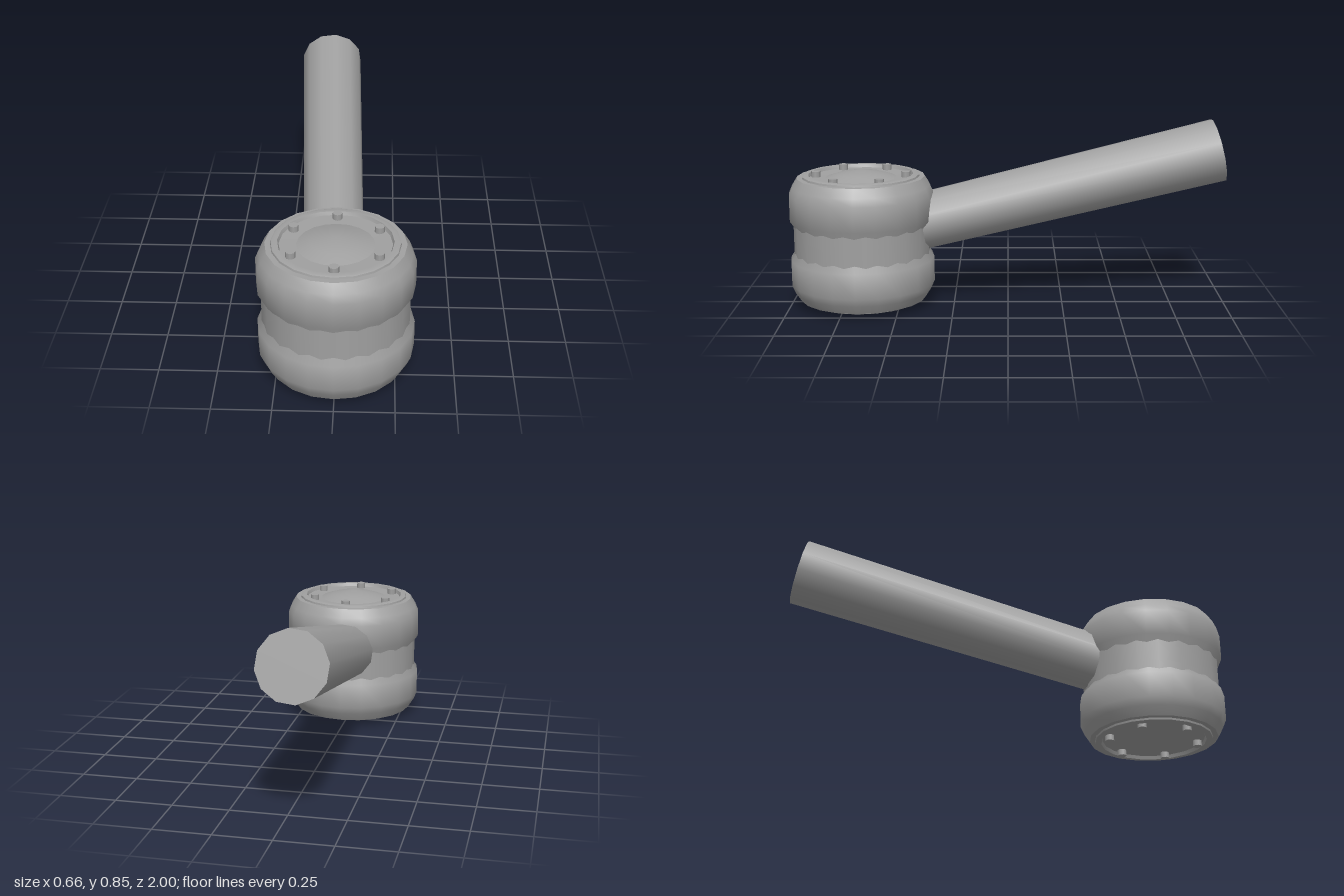
import * as THREE from 'three';
import { toCreasedNormals } from 'three/addons/utils/BufferGeometryUtils.js';

const SIDES = 20;
const MID = 0.317; // half height of the drum

export function createModel() {
  const model = new THREE.Group();
  model.name = 'hammer';
  const steel = new THREE.MeshStandardMaterial({ color: 0xa0a0a0 });
  steel.name = 'grey steel';

  const add = (parent, name, geometry) => {
    const mesh = new THREE.Mesh(geometry, steel);
    mesh.name = name;
    parent.add(mesh);
    return mesh;
  };
  const lathe = (pts) => toCreasedNormals(
    new THREE.LatheGeometry(pts.map(([r, y]) => new THREE.Vector2(r, y)), SIDES), 0.72);

  const head = new THREE.Group();
  head.name = 'head';
  head.position.set(0, MID, 0.67);
  model.add(head);

  // Drum shell: two rounded collars with a groove between them
  const upper = [[0.30, 0.05], [0.33, 0.093], [0.33, 0.208], [0.315, 0.243], [0.29, 0.283], [0.255, 0.284]];
  const lower = upper.map(([r, y]) => [r, -y]).reverse();
  add(head, 'drum', lathe([...lower, ...upper]));

  // Groove band, turned half a step so its edges meet the collars in a zigzag
  const band = add(head, 'grooveBand', new THREE.CylinderGeometry(0.311, 0.311, 0.17, SIDES, 1, true));
  band.rotation.y = Math.PI / SIDES;

  // Identical end plates, top and bottom
  for (const side of ['top', 'bottom']) {
    const plate = new THREE.Group();
    plate.name = side + 'Plate';
    if (side === 'bottom') plate.rotation.z = Math.PI;
    head.add(plate);

    add(plate, 'rim', lathe([[0.268, 0.28], [0.265, 0.292], [0.258, 0.295], [0.238, 0.295], [0.232, 0.28], [0.15, 0.278]]));
    add(plate, 'dome', lathe([[0.168, 0.276], [0.105, 0.296], [0, 0.314]]));
    for (let i = 0; i < 6; i++) {
      const a = (i * Math.PI) / 3;
      const bolt = add(plate, 'bolt', new THREE.CylinderGeometry(0.021, 0.021, 0.035, 8));
      bolt.position.set(0.205 * Math.sin(a), 0.288, 0.205 * Math.cos(a));
    }
  }

  // Handle: slightly flared, tilted up and to one side
  const start = new THREE.Vector3(-0.014, 0.362, 0.5);
  const end = new THREE.Vector3(-0.075, 0.708, -0.965);
  const dir = end.clone().sub(start);
  const handle = add(model, 'handle', new THREE.CylinderGeometry(
    0.147, 0.13, dir.length(), 12, 1, false, Math.PI / 18));
  handle.position.copy(start).add(end).multiplyScalar(0.5);
  handle.quaternion.setFromUnitVectors(new THREE.Vector3(0, 1, 0), dir.normalize());

  return model;
}
